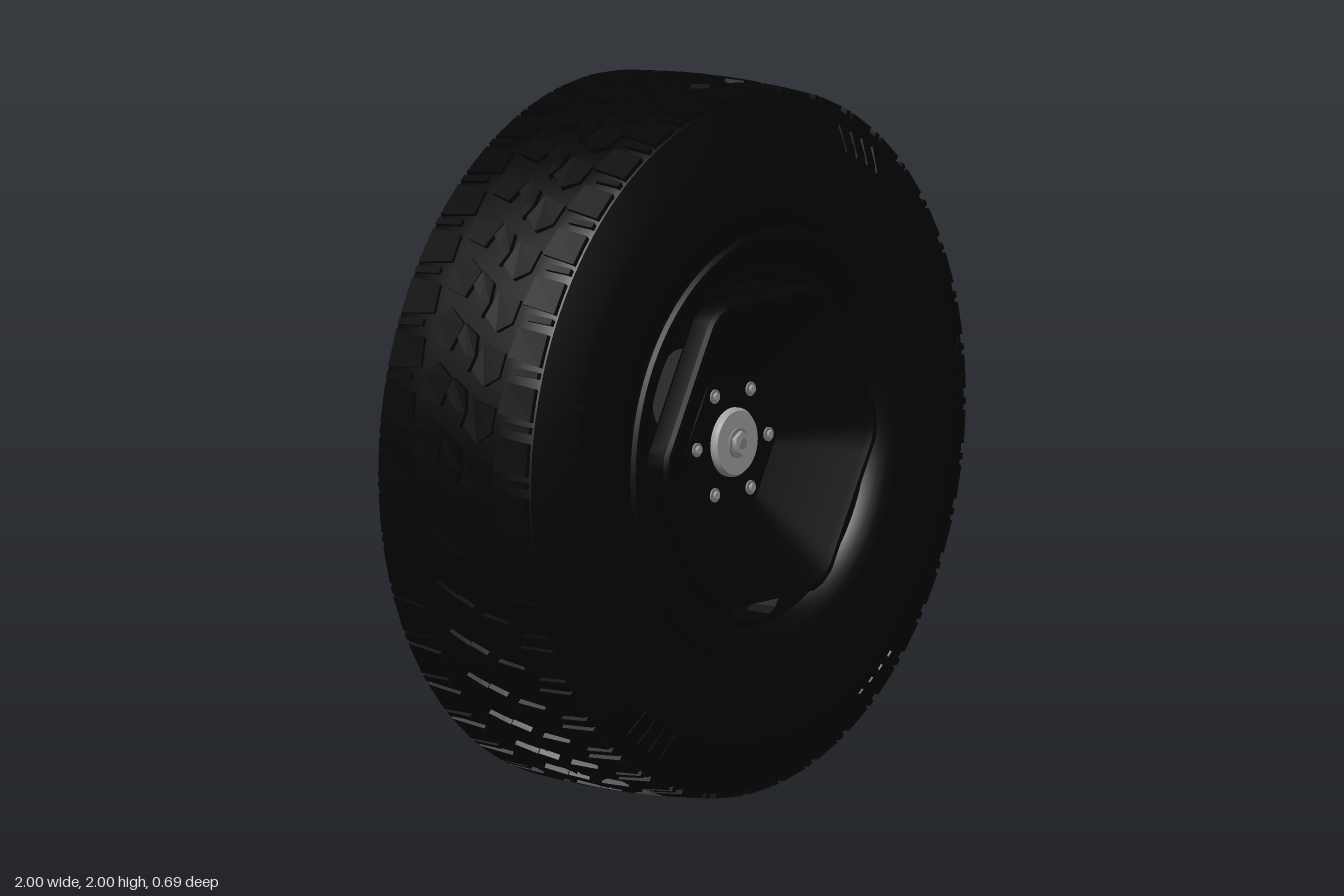
import * as THREE from 'three';
import { mergeGeometries, toCreasedNormals } from 'three/addons/utils/BufferGeometryUtils.js';

const mat = (name, color) => new THREE.MeshStandardMaterial({ name, color });

// Closed profile of [radius, z] pairs spun about the z axis
function spin(profile, segments = 96) {
  const g = new THREE.LatheGeometry(profile.map(([r, z]) => new THREE.Vector2(r, z)), segments);
  return g.rotateX(Math.PI / 2);
}

// Cylinder along z between two depths
function disc(radius, z0, z1, sides = 32) {
  return new THREE.CylinderGeometry(radius, radius, z1 - z0, sides)
    .rotateX(Math.PI / 2).translate(0, 0, (z0 + z1) / 2);
}

// Pull a round spun shape into a hexagon with clipped corners and flats at top and bottom
function hexify(geometry) {
  const p = geometry.attributes.position, step = Math.PI / 3;
  for (let i = 0; i < p.count; i++) {
    const a = Math.atan2(p.getY(i), p.getX(i)) - Math.PI / 2;
    const off = a - Math.round(a / step) * step;
    const k = Math.min(1 / Math.cos(off), 1.115);
    p.setXY(i, p.getX(i) * k, p.getY(i) * k);
  }
  return geometry;
}

// Raised tread block: outline in [arc, z], wrapped around the tyre
function treadBlock(outline, angle) {
  const shape = new THREE.Shape(outline.map(([u, z]) => new THREE.Vector2(u, z)));
  const g = new THREE.ExtrudeGeometry(shape, { depth: 1, bevelEnabled: false });
  const p = g.attributes.position;
  for (let i = 0; i < p.count; i++) {
    const a = angle + p.getX(i), z = p.getY(i);
    const r = p.getZ(i) > 0.5 ? 1 - 0.2 * z * z : 0.965;
    p.setXYZ(i, r * Math.cos(a), r * Math.sin(a), z);
  }
  g.computeVertexNormals();
  return g;
}

export function createModel() {
  const rubber = mat('tyre black', 0x040404);
  const black = mat('rim black', 0x040404);
  const steel = mat('hub steel', 0xa2a2a2);
  const nutGrey = mat('nut grey', 0x858585);

  const model = new THREE.Group();
  model.name = 'wheel';
  model.position.y = 1;
  const root = new THREE.Group();
  root.add(model);
  const add = (name, geometry, material) => {
    const m = new THREE.Mesh(geometry, material);
    m.name = name;
    model.add(m);
  };

  // Hollow tyre carcass, open at the rear: outer skin first, then the inner skin back again
  add('tyre', toCreasedNormals(spin([
    [0.585, -0.333], [0.6, -0.343], [0.79, -0.343], [0.972, -0.277], [0.977, -0.26],
    [0.986, -0.14], [0.984, 0], [0.986, 0.14], [0.977, 0.24], [0.97, 0.255], [0.88, 0.312],
    [0.85, 0.325], [0.8, 0.331], [0.72, 0.331], [0.63, 0.325], [0.59, 0.31],
    [0.59, 0.29], [0.72, 0.305], [0.84, 0.298], [0.95, 0.235], [0.96, 0],
    [0.95, -0.25], [0.785, -0.323], [0.6, -0.323], [0.585, -0.333],
  ], 120), 0.5), rubber);

  // Tread: shoulder lugs, angled intermediate blocks and a zigzag centre, each row staggered
  const count = 40, pitch = 2 * Math.PI / count;
  const rows = [
    [0, [[0.01, 0.15], [0.1, 0.14], [0.115, 0.25], [0.02, 0.25]]],
    [0, [[0.125, 0.17], [0.145, 0.17], [0.148, 0.25], [0.13, 0.25]]],
    [0.06, [[0.0, -0.27], [0.11, -0.27], [0.1, -0.15], [0.015, -0.16]]],
    [0.06, [[0.122, -0.27], [0.143, -0.27], [0.14, -0.18], [0.12, -0.18]]],
    [0.05, [[0.02, 0.05], [0.1, 0.03], [0.14, 0.08], [0.11, 0.125], [0.04, 0.13]]],
    [0.11, [[0.06, -0.135], [0.13, -0.13], [0.15, -0.06], [0.07, -0.035], [0.03, -0.09]]],
    [0.02, [[0.0, -0.03], [0.045, -0.045], [0.09, 0.0], [0.135, 0.015], [0.09, 0.03], [0.03, 0.02]]],
  ];
  const blocks = [];
  for (let i = 0; i < count; i++) {
    for (const [stagger, outline] of rows) blocks.push(treadBlock(outline, i * pitch + stagger));
  }
  add('tread', mergeGeometries(blocks), rubber);

  // Shallow ribs on the front shoulder, in six clusters
  const ribs = [];
  for (const degrees of [0, 55, 108, 165, 232, 300]) {
    for (let k = 0; k < 4; k++) {
      ribs.push(new THREE.BoxGeometry(0.08, 0.018, 0.012).rotateZ(0.2)
        .rotateY(0.5).translate(0.89, 0, 0.303)
        .rotateZ(THREE.MathUtils.degToRad(degrees) + k * 0.06));
    }
  }
  add('shoulderRibs', mergeGeometries(ribs), rubber);

  // Short rim barrel with a rounded front lip
  add('rimBarrel', toCreasedNormals(spin([
    [0.51, 0.06], [0.53, 0.06], [0.55, 0.12], [0.6, 0.27], [0.612, 0.325], [0.603, 0.336],
    [0.575, 0.337], [0.555, 0.325], [0.53, 0.312], [0.51, 0.285], [0.505, 0.19], [0.51, 0.06],
  ]), 0.6), black);

  // Thick wheel face ring with six curved windows
  const face = new THREE.Shape().absarc(0, 0, 0.52, 0, Math.PI * 2, false);
  face.holes.push(new THREE.Path().absarc(0, 0, 0.415, 0, Math.PI * 2, true));
  for (let i = 0; i < 6; i++) {
    const pts = [[-0.113, 0.436], [0.113, 0.436], [0.108, 0.447], [0.094, 0.467], [0.073, 0.484],
      [0.04, 0.491], [0, 0.494], [-0.04, 0.491], [-0.073, 0.484], [-0.094, 0.467], [-0.108, 0.447]];
    const window = pts.map(([x, y]) =>
      new THREE.Vector2(x, y).rotateAround(new THREE.Vector2(), i * Math.PI / 3));
    face.holes.push(new THREE.Path(window));
  }
  add('wheelFace', new THREE.ExtrudeGeometry(face, { depth: 0.085, bevelEnabled: false, curveSegments: 48 })
    .translate(0, 0, 0.195), black);

  // Hexagonal dished centre with a raised edge
  add('hexDish', toCreasedNormals(hexify(spin([
    [0, 0.188], [0.19, 0.188], [0.38, 0.25], [0.425, 0.255], [0.43, 0.27], [0.43, 0.335],
    [0.42, 0.345], [0.405, 0.345], [0.39, 0.333], [0.18, 0.198], [0, 0.198],
  ], 72)), 0.4), black);

  // Mounting pad round the hub
  add('mountingPad', hexify(disc(0.178, 0.185, 0.202, 72)), black);

  // Hub cap on both sides, with a hexagonal bolt
  add('hubCap', toCreasedNormals(spin([
    [0, 0.165], [0.09, 0.165], [0.097, 0.171], [0.097, 0.213], [0.09, 0.222], [0, 0.222],
  ], 48), 0.4), steel);
  add('boltWasher', disc(0.042, 0.222, 0.227), nutGrey);
  add('hubBolt', disc(0.034, 0.16, 0.24, 6), steel);
  add('boltTip', disc(0.016, 0.24, 0.243, 16), nutGrey);

  // Six wheel nuts, larger on the rear
  for (let i = 0; i < 6; i++) {
    const nut = new THREE.Group();
    nut.name = 'wheelNut';
    const parts = [
      ['nutSeat', disc(0.02, 0.2, 0.207, 24), nutGrey],
      ['nutFront', disc(0.012, 0.205, 0.215, 6), steel],
      ['nutRear', disc(0.028, 0.168, 0.19, 6), nutGrey],
      ['studEnd', disc(0.017, 0.164, 0.17, 16), black],
    ];
    for (const [name, geometry, material] of parts) {
      const m = new THREE.Mesh(geometry, material);
      m.name = name;
      nut.add(m);
    }
    const a = i * Math.PI / 3;
    nut.position.set(0.16 * Math.cos(a), 0.16 * Math.sin(a), 0);
    model.add(nut);
  }
  return root;
}
